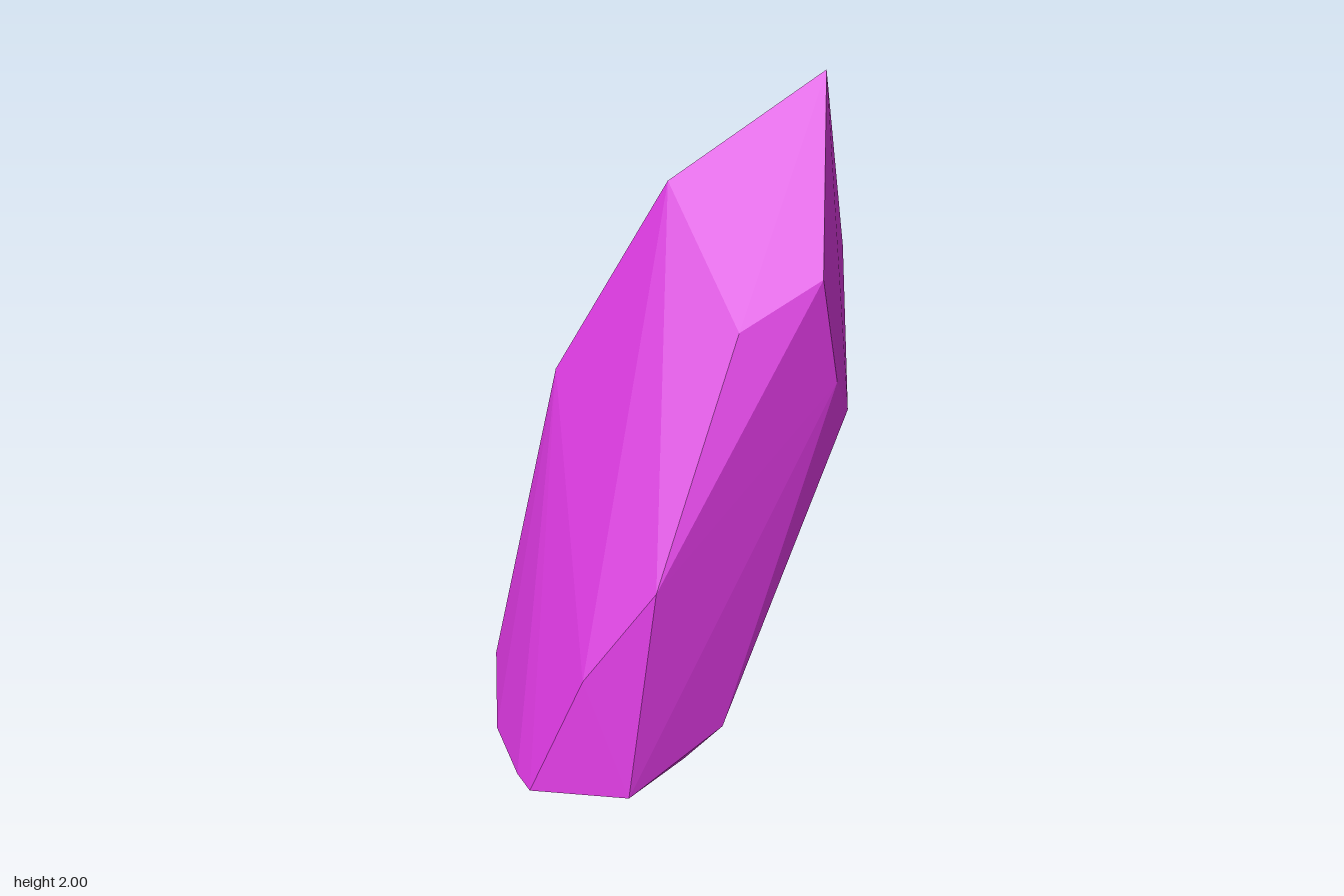
import * as THREE from 'three';
import { ConvexGeometry } from 'three/addons/geometries/ConvexGeometry.js';

// A leaning, faceted crystal shard: the hull of its corner rings.
const tip = [[0.39, 2.0, -0.72]];

// Corners where the pointed cap meets the shaft
const shoulder = [
  [-0.07, 1.73, -0.35], [0.23, 1.40, 0.02], [0.47, 1.52, -0.16],
  [0.475, 1.37, -0.70], [-0.10, 1.60, -0.625],
];

// Corners of the narrow bevels along the shaft
const shaft = [
  [-0.41, 1.11, -0.135], [0.53, 1.15, -0.16], [0.56, 0.98, -0.27],
  [-0.02, 1.26, -0.655], [0.055, 0.70, 0.495], [-0.165, 0.40, 0.605],
  [-0.075, 0.37, -0.40], [-0.565, 0.16, 0.22], [0.25, 0.06, 0.34],
];

// Broken-off foot, walked around the outline
const foot = [
  [0.0, 0.006, 0.69], [0.14, 0.002, 0.46], [0.21, 0, 0.30], [0.18, 0, 0.18],
  [0.06, 0, -0.08], [-0.035, 0.003, -0.13], [-0.32, 0.008, -0.03],
  [-0.555, 0.015, 0.24], [-0.51, 0.015, 0.44], [-0.385, 0.013, 0.65],
  [-0.325, 0.012, 0.72],
];

export function createModel() {
  const crystalPurple = new THREE.MeshStandardMaterial({ color: 0xd236d6, flatShading: true });
  crystalPurple.name = 'crystalPurple';

  const corners = [...tip, ...shoulder, ...shaft, ...foot].map((p) => new THREE.Vector3(...p));
  const crystal = new THREE.Mesh(new ConvexGeometry(corners), crystalPurple);
  crystal.name = 'crystalShard';

  const model = new THREE.Group();
  model.name = 'crystal';
  model.add(crystal);
  return model;
}
